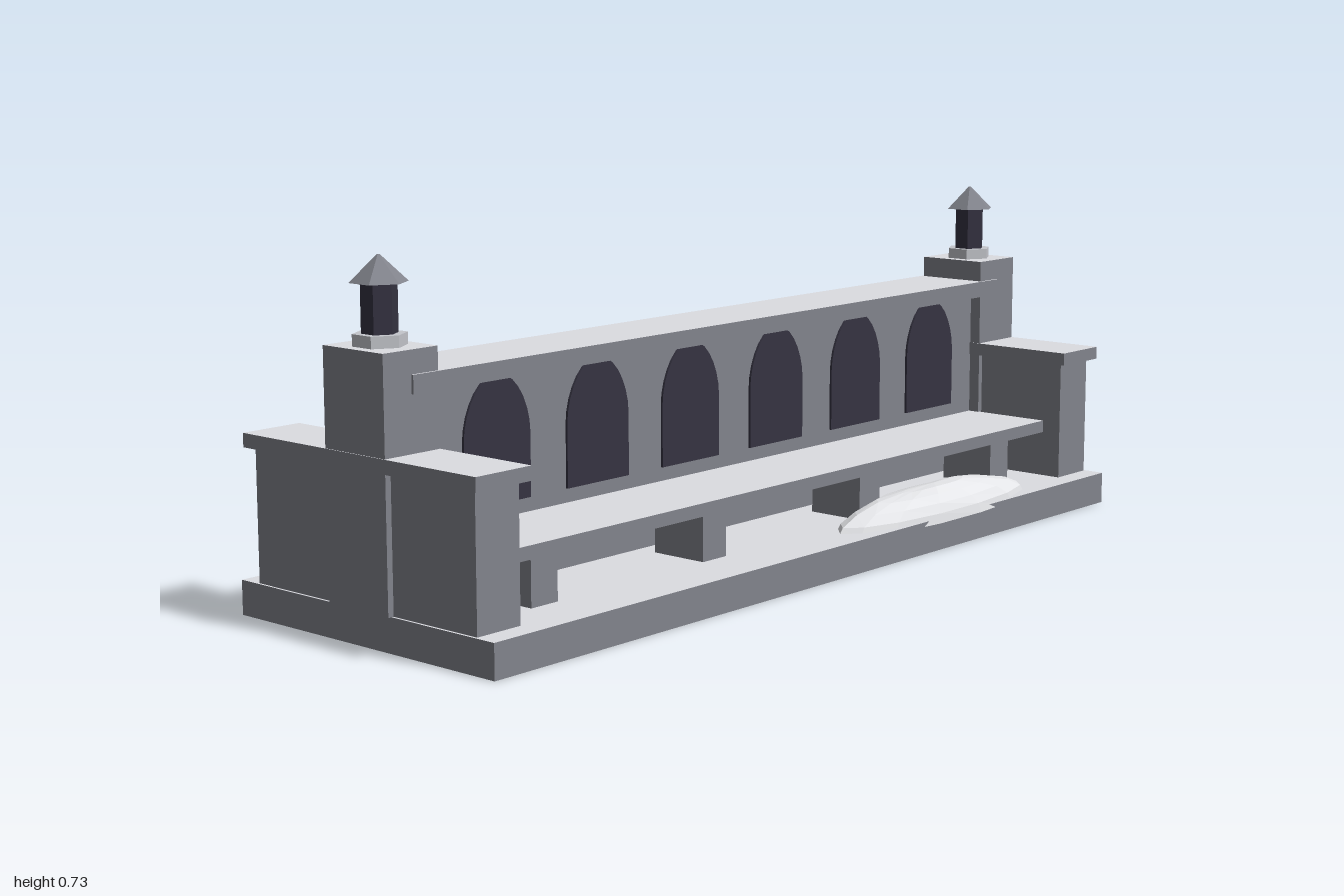
import * as THREE from 'three';

const mat = (name, color, extra = {}) => {
  const m = new THREE.MeshStandardMaterial({ color, ...extra });
  m.name = name;
  return m;
};

export function createModel() {
  const group = new THREE.Group();
  const stone = mat('stone', 0x82848c, { flatShading: true });
  const frost = mat('frosted top', 0xdcdde2);
  const paleStone = mat('pale stone', 0xc4c6cc, { flatShading: true });
  const dark = mat('dark opening', 0x353341, { flatShading: true });
  const snow = mat('snow', 0xe5e6e9, { flatShading: true });
  // Box sides in the order +x, -x, +y, -y, +z, -z: only the top is frosted
  const frosted = [stone, stone, frost, stone, stone, stone];

  const add = (name, geometry, material, x = 0, y = 0, z = 0) => {
    const mesh = new THREE.Mesh(geometry, material);
    mesh.name = name;
    mesh.position.set(x, y, z);
    group.add(mesh);
    return mesh;
  };
  // Box given by its extents on each axis
  const box = (name, x0, x1, y0, y1, z0, z1, material = frosted) =>
    add(name, new THREE.BoxGeometry(x1 - x0, y1 - y0, z1 - z0), material,
      (x0 + x1) / 2, (y0 + y1) / 2, (z0 + z1) / 2);

  box('base', -0.99, 0.99, 0, 0.07, -0.35, 0.35);
  box('backWall', -0.87, 0.87, 0.07, 0.477, -0.056, 0.056, stone);
  box('topRail', -0.93, 0.93, 0.476, 0.512, -0.087, 0.087);

  // End pillars, arms and lanterns
  for (const s of [-1, 1]) {
    const c = s * 0.931;
    box('pillar', c - 0.067, c + 0.067, 0.07, 0.558, -0.082, 0.082);
    box('arm', c - 0.054, c + 0.054, 0.07, 0.338, -0.302, 0.302, stone);
    box('armCap', c - 0.069, c + 0.069, 0.337, 0.365, -0.32, 0.32);
    const hex = (name, r0, r1, y0, y1, m) =>
      add(name, new THREE.CylinderGeometry(r1, r0, y1 - y0, 6), m, c, (y0 + y1) / 2, 0);
    hex('lanternBase', 0.052, 0.052, 0.558, 0.581, paleStone);
    hex('lanternBody', 0.035, 0.035, 0.581, 0.676, dark);
    hex('lanternRoof', 0.056, 0.003, 0.675, 0.726, stone);
  }

  // Arched panel outline
  const arch = new THREE.Shape();
  arch.moveTo(-0.088, 0.23);
  arch.lineTo(0.088, 0.23);
  arch.lineTo(0.088, 0.36);
  arch.bezierCurveTo(0.088, 0.405, 0.062, 0.462, 0.024, 0.477);
  arch.lineTo(-0.024, 0.477);
  arch.bezierCurveTo(-0.062, 0.462, -0.088, 0.405, -0.088, 0.36);
  const archGeo = new THREE.ExtrudeGeometry(arch, { depth: 0.005, bevelEnabled: false, curveSegments: 6 });

  // Seats, legs and arches on both sides
  for (const s of [-1, 1]) {
    const zBox = (name, x0, x1, y0, y1, a, b, material) =>
      box(name, x0, x1, y0, y1, Math.min(s * a, s * b), Math.max(s * a, s * b), material);
    zBox('seat', -0.868, 0.868, 0.174, 0.201, 0.04, 0.263, frosted);
    for (const x of [-0.743, -0.26, 0.25, 0.738])
      zBox('seatLeg', x - 0.035, x + 0.035, 0.07, 0.175, 0.1, 0.23, stone);
    for (let i = 0; i < 6; i++) {
      const m = add('archPanel', archGeo, dark, (i - 2.5) * 0.278, 0, s * 0.056);
      if (s < 0) m.rotation.y = Math.PI;
    }
  }

  // Low snow drifts: flattened half spheres with slight unevenness
  const drift = (x, z, rx, ry, rz) => {
    const g = new THREE.SphereGeometry(1, 14, 5, 0, Math.PI * 2, 0, Math.PI / 2);
    const p = g.attributes.position;
    for (let i = 0; i < p.count; i++) {
      const a = p.getX(i), b = p.getZ(i);
      const k = 1 + 0.03 * Math.sin(a * 7 + b * 5);
      p.setXYZ(i, a * rx, p.getY(i) * ry * k, b * rz * k);
    }
    g.computeVertexNormals();
    add('snowDrift', g, snow, x, 0.06, z);
  };
  drift(0.413, 0.281, 0.338, 0.068, 0.077);
  drift(-0.588, -0.281, 0.272, 0.066, 0.077);

  return group;
}
